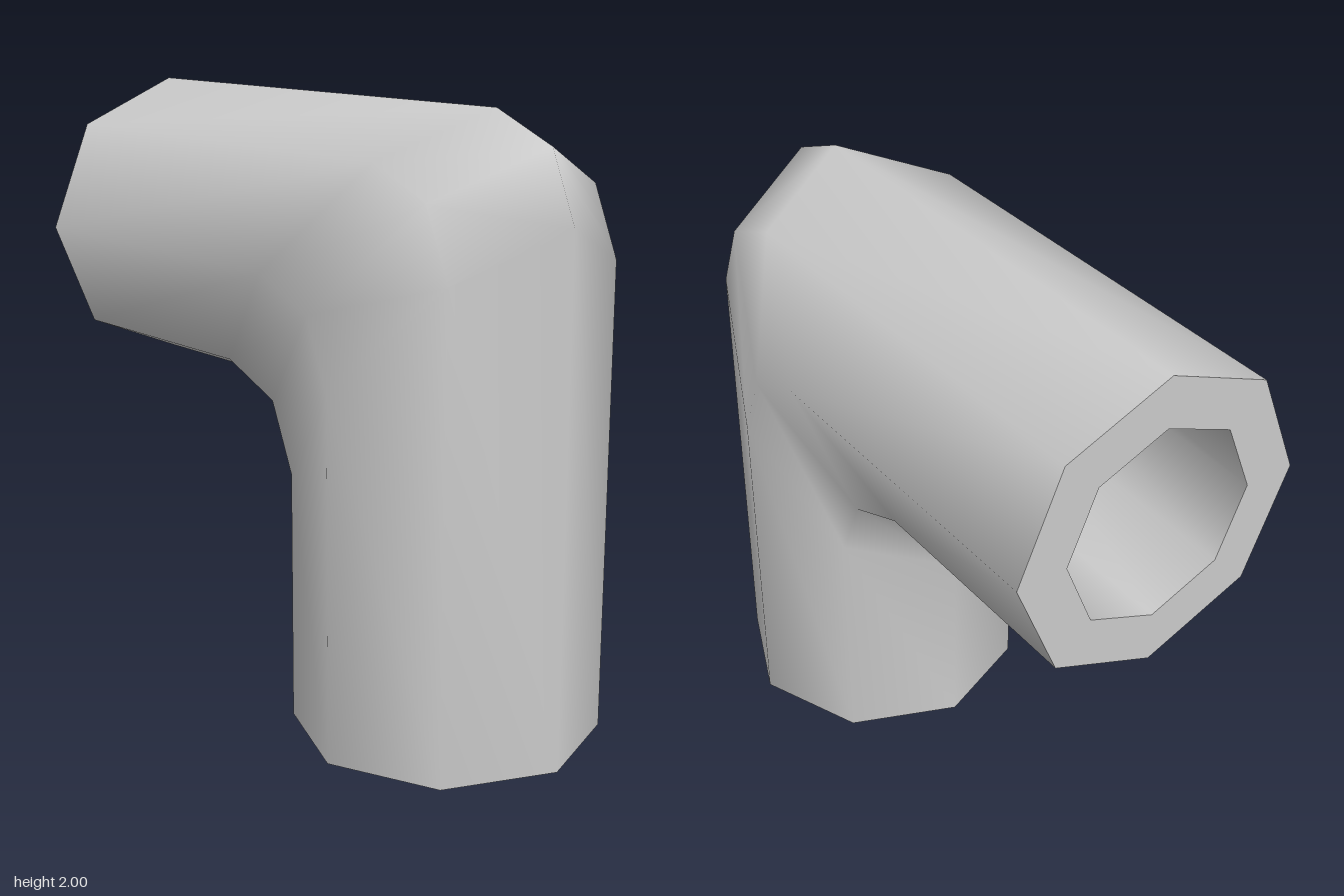
import * as THREE from 'three';

const SIDES = 8, OUTER = 0.5, INNER = 0.33;

// Octagonal tube wall along the elbow: every long edge takes the same bevelled corner,
// shifted diagonally by its height d in the section.
function elbowWall(radius, inward) {
  const positions = [], indices = [];
  const stations = d => [
    [-1, 1.5 + d], [0.18 + d, 1.5 + d], [0.405 + d, 1.405 + d], [0.5 + d, 1.18 + d], [0.5 + d, 0],
  ];
  for (let j = 0; j < SIDES; j++) {
    const a = (j / SIDES) * Math.PI * 2;
    for (const [x, y] of stations(radius * Math.cos(a))) positions.push(x, y, radius * Math.sin(a));
  }
  const n = 5;
  for (let j = 0; j < SIDES; j++) {
    for (let i = 0; i < n - 1; i++) {
      const a = j * n + i, b = ((j + 1) % SIDES) * n + i;
      if (inward) indices.push(a, a + 1, b, b, a + 1, b + 1);
      else indices.push(a, b, a + 1, b, b + 1, a + 1);
    }
  }
  const geometry = new THREE.BufferGeometry();
  geometry.setAttribute('position', new THREE.Float32BufferAttribute(positions, 3));
  geometry.setIndex(indices);
  geometry.computeVertexNormals();
  return geometry;
}

export function createModel() {
  const group = new THREE.Group();
  group.name = 'pipeElbow';
  const material = new THREE.MeshStandardMaterial({ color: 0xcccccc });
  const add = (name, geometry) => {
    const mesh = new THREE.Mesh(geometry, material);
    mesh.name = name;
    group.add(mesh);
    return mesh;
  };

  // Outside and bore of the pipe
  add('outerWall', elbowWall(OUTER, false));
  add('innerWall', elbowWall(INNER, true));

  // Flat rims at the two open ends
  const rim = () => new THREE.RingGeometry(INNER, OUTER, SIDES, 1);
  add('sideRim', rim().rotateY(-Math.PI / 2)).position.set(-1, 1.5, 0);
  add('bottomRim', rim().rotateX(Math.PI / 2)).position.set(0.5, 0, 0);

  return group;
}
